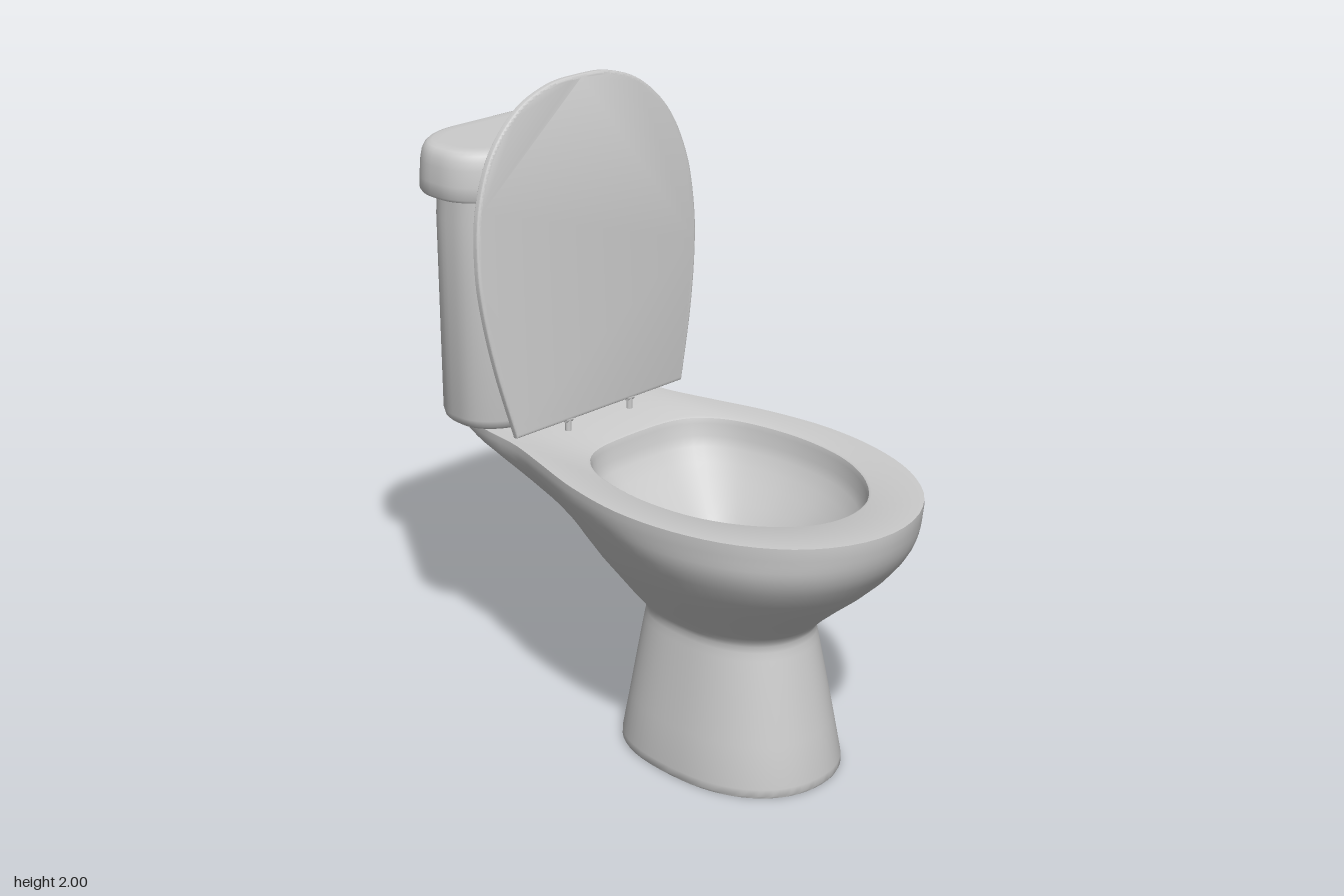
import * as THREE from 'three';
import { toCreasedNormals } from 'three/addons/utils/BufferGeometryUtils.js';

const N = 40; // segments on each half of a ring
const material = new THREE.MeshStandardMaterial({ color: 0xcccccc });

function mesh(name, geometry) {
  const m = new THREE.Mesh(geometry, material);
  m.name = name;
  return m;
}

// Closed outline, mirrored across z = 0, from half an outline running front to back
function mirroredOutline(half) {
  const mirror = ([x, z]) => [x, -z];
  // Ghost points past both ends keep the outline rounded where it crosses z = 0
  const h = [mirror(half[1]), ...half, mirror(half[half.length - 2])];
  const dense = [];
  for (let i = 1; i < h.length - 2; i++) {
    const c = new THREE.CatmullRomCurve3(h.slice(i - 1, i + 3).map(([x, z]) => new THREE.Vector3(x, 0, z)), false, 'centripetal');
    for (let k = 0; k < 12; k++) dense.push(c.getPoint((1 + k / 12) / 3));
  }
  const [endX, endZ] = half[half.length - 1];
  dense.push(new THREE.Vector3(endX, 0, endZ));
  const path = new THREE.CurvePath();
  for (let i = 0; i < dense.length - 1; i++) path.add(new THREE.LineCurve3(dense[i], dense[i + 1]));
  const side = path.getSpacedPoints(N).map(p => [p.x, p.z]);
  return [...side, ...side.slice(1, -1).reverse().map(mirror)];
}

// Pedestal plan, round in front and squarer behind, x in 0..1 and z in -1..1
function footOutline() {
  const half = [];
  for (let i = 0; i <= 16; i++) {
    const a = (i / 16) * Math.PI, c = Math.cos(a), s = Math.sin(a);
    const e = 2 / (c > 0 ? 2.2 : 2.7);
    half.push([0.5 + 0.5 * Math.sign(c) * Math.abs(c) ** e, Math.abs(s) ** e]);
  }
  half[0][1] = half[16][1] = 0;
  return mirroredOutline(half);
}

// Skin over rings of [x, y, z] points, closed at both ends
function loft(rings, crease) {
  const n = rings[0].length, index = [], pos = rings.flat(2);
  for (let i = 0; i < rings.length - 1; i++) {
    for (let j = 0; j < n; j++) {
      const a = i * n + j, b = i * n + (j + 1) % n, d = a + n, c = b + n;
      index.push(a, d, b, b, d, c);
    }
  }
  for (const [r, flip] of [[0, false], [rings.length - 1, true]]) {
    const centre = pos.length / 3;
    pos.push(...[0, 1, 2].map(k => rings[r].reduce((s, p) => s + p[k], 0) / n));
    for (let j = 0; j < n; j++) {
      const a = r * n + j, b = r * n + (j + 1) % n;
      index.push(centre, ...(flip ? [b, a] : [a, b]));
    }
  }
  const g = new THREE.BufferGeometry();
  g.setAttribute('position', new THREE.Float32BufferAttribute(pos, 3));
  g.setIndex(index);
  return toCreasedNormals(g, crease);
}

// Pedestal, outer bowl, rim and inner basin as one continuous skin
function bowlGeometry() {
  const rim = mirroredOutline([[0.828, 0], [0.803, 0.13], [0.722, 0.26], [0.58, 0.365], [0.4, 0.428], [0.18, 0.45], [-0.05, 0.42],
    [-0.25, 0.365], [-0.4, 0.325], [-0.6, 0.3], [-0.73, 0.25], [-0.78, 0.15], [-0.79, 0]])
    .map(([x, z]) => [(x + 0.79) / 1.618, z / 0.45]);
  const foot = footOutline();
  // y, back x, front x, half width
  const sections = [
    [0, -0.137, 0.567, 0.266], [0.008, -0.141, 0.571, 0.27], [0.03, -0.14, 0.57, 0.27], [0.16, -0.117, 0.545, 0.25],
    [0.3, -0.093, 0.516, 0.229], [0.42, -0.072, 0.491, 0.21], [0.445, -0.067, 0.485, 0.206], [0.465, -0.067, 0.484, 0.205],
    [0.482, -0.077, 0.491, 0.212], [0.5, -0.095, 0.507, 0.224], [0.53, -0.124, 0.538, 0.248], [0.58, -0.177, 0.595, 0.286],
    [0.64, -0.257, 0.667, 0.334], [0.7, -0.347, 0.73, 0.377], [0.755, -0.445, 0.776, 0.408], [0.79, -0.53, 0.798, 0.425],
    [0.82, -0.61, 0.811, 0.436], [0.84, -0.675, 0.817, 0.441], [0.86, -0.735, 0.822, 0.445], [0.88, -0.773, 0.825, 0.448],
    [0.9, -0.79, 0.828, 0.45], [0.92, -0.79, 0.828, 0.45],
  ];
  const rings = sections.map(([y, xb, xf, w]) => {
    const f = THREE.MathUtils.smoothstep(0.92 - y, 0, 0.44);
    return rim.map(([u, v], j) => [
      xb + (xf - xb) * THREE.MathUtils.lerp(u, foot[j][0], f), y, w * THREE.MathUtils.lerp(v, foot[j][1], f)]);
  });
  // Basin sections: y, scale about the drain
  const hole = mirroredOutline([[0.65, 0], [0.62, 0.118], [0.52, 0.226], [0.37, 0.302], [0.18, 0.329], [0, 0.31],
    [-0.1, 0.276], [-0.172, 0.218], [-0.204, 0.148], [-0.213, 0.07], [-0.215, 0]]);
  for (const [y, s] of [[0.92, 1.03], [0.916, 1.012], [0.9, 1], [0.86, 0.99], [0.83, 0.955], [0.79, 0.88], [0.75, 0.79],
    [0.7, 0.67], [0.64, 0.53], [0.58, 0.42], [0.53, 0.34], [0.48, 0.27]]) {
    rings.push(hole.map(([x, z]) => [0.2 + (x - 0.2) * s, y, z * s]));
  }
  return loft(rings, 0.7);
}

// Block with elliptical corners; rows hold y and inset from the full plan size
function roundedBlock(width, depth, rx, rz, rows) {
  return loft(rows.map(([y, inset]) => {
    const ring = [];
    for (let q = 0; q < 4; q++) {
      const sx = q === 0 || q === 3 ? 1 : -1, sz = q < 2 ? 1 : -1;
      for (let k = 0; k <= 12; k++) {
        const a = (q + k / 12) * Math.PI / 2;
        ring.push([sx * (width / 2 - rx) + (rx - inset) * Math.cos(a), y, sz * (depth / 2 - rz) + (rz - inset) * Math.sin(a)]);
      }
    }
    return ring;
  }), 0.7);
}

// Raised seat cover, hinged at its lower edge
function coverGeometry() {
  const half = [[0.394, 0.22], [0.427, 0.4], [0.437, 0.55], [0.418, 0.72], [0.354, 0.872], [0.246, 0.98], [0.12, 1.031]];
  const shape = new THREE.Shape();
  shape.moveTo(-0.34, 0.014);
  shape.lineTo(0.34, 0.014);
  shape.splineThru([...half, [0, 1.04], ...half.slice().reverse().map(([x, y]) => [-x, y]), [-0.34, 0.014]]
    .map(([x, y]) => new THREE.Vector2(x, y)));
  const g = new THREE.ExtrudeGeometry(shape, {
    depth: 0.008, bevelSize: 0.011, bevelThickness: 0.009, bevelSegments: 4, curveSegments: 64 });
  g.translate(0, 0, -0.004);
  g.rotateY(Math.PI / 2);
  return toCreasedNormals(g, 0.6);
}

export function createModel() {
  const model = new THREE.Group();
  model.name = 'toilet';
  model.add(mesh('bowlAndPedestal', bowlGeometry()));

  // Cistern and its lid
  const tank = mesh('tank', roundedBlock(0.335, 0.685, 0.15, 0.2,
    [[0.92, 0.06], [0.92, 0.03], [0.925, 0.016], [0.935, 0.006], [0.955, 0], [1.58, 0], [1.67, 0.004]]));
  tank.position.set(-0.638, 0, 0.012);
  const tankLid = mesh('tankLid', roundedBlock(0.38, 0.79, 0.17, 0.22,
    [[1.66, 0.018], [1.663, 0.006], [1.672, 0], [1.71, 0.001], [1.76, 0.005], [1.785, 0.01], [1.802, 0.018], [1.811, 0.028],
      [1.815, 0.042], [1.815, 0.07]]));
  tankLid.position.set(-0.64, 0, 0.01);
  model.add(tank, tankLid);

  const cover = mesh('seatCover', coverGeometry());
  cover.position.set(-0.375, 0.952, -0.004);
  cover.rotation.z = 0.075;
  model.add(cover);

  // Hinge pegs
  for (const side of [1, -1]) {
    const peg = new THREE.Group();
    peg.name = side > 0 ? 'leftHinge' : 'rightHinge';
    const post = mesh('hingePost', new THREE.CylinderGeometry(0.01, 0.01, 0.05, 12));
    post.position.y = 0.94;
    const knuckle = mesh('hingeKnuckle', new THREE.CylinderGeometry(0.01, 0.01, 0.026, 12));
    knuckle.rotation.x = Math.PI / 2;
    knuckle.position.y = 0.957;
    peg.add(post, knuckle);
    peg.position.set(-0.374, 0, side * 0.13);
    model.add(peg);
  }
  return model;
}
